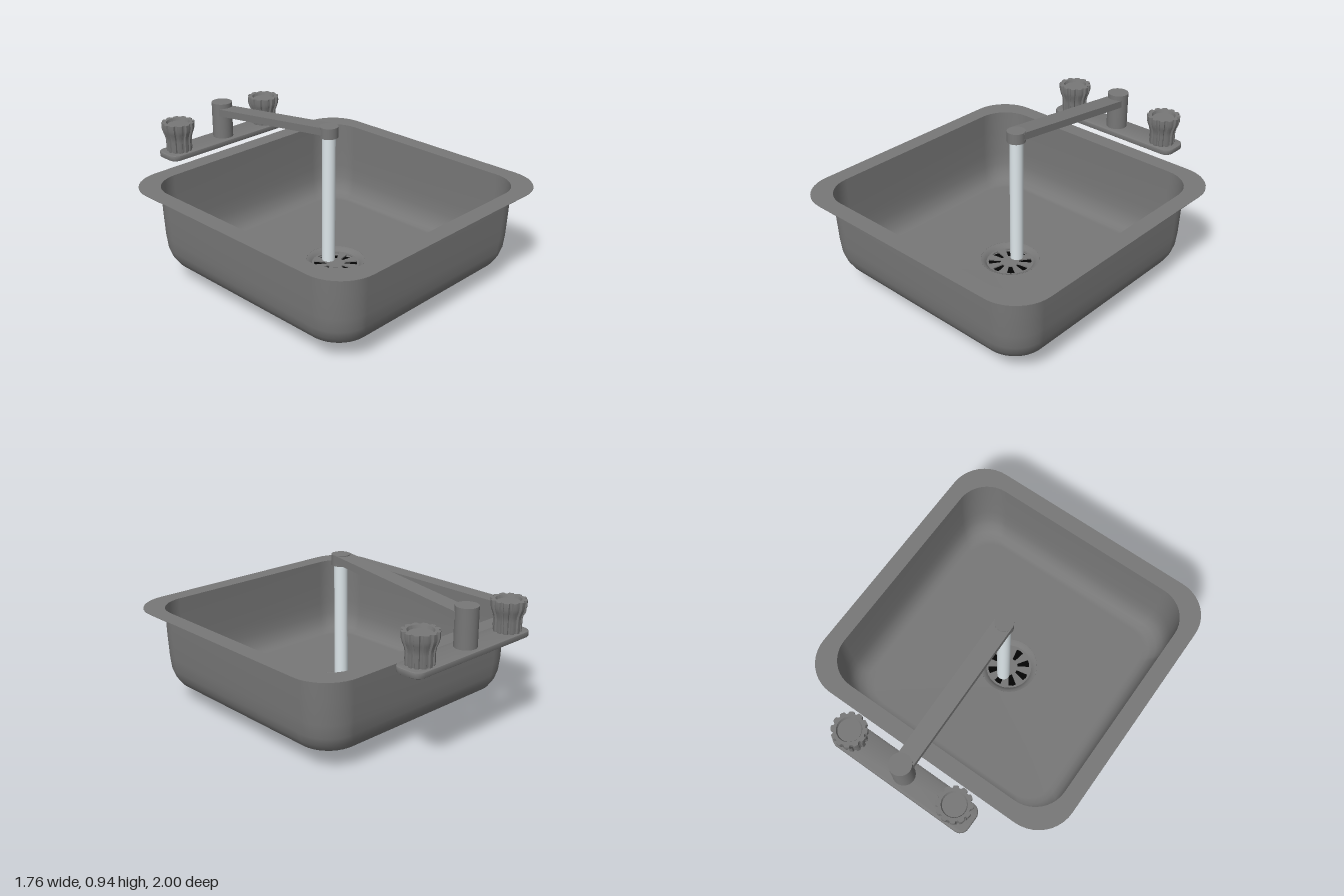
import * as THREE from 'three';
import { toCreasedNormals } from 'three/addons/utils/BufferGeometryUtils.js';

const steel = new THREE.MeshStandardMaterial({ color: 0x777777 });
const sheet = new THREE.MeshStandardMaterial({ color: 0x777777, side: THREE.DoubleSide });
const black = new THREE.MeshStandardMaterial({ color: 0x030303, side: THREE.DoubleSide });
const water = new THREE.MeshStandardMaterial({ color: 0xdde6ea });
const BOWL_Z = 0.12, TAP_Z = -0.9, SPOUT_Z = 0.06;

function add(parent, name, geometry, material, x = 0, y = 0, z = 0) {
  const mesh = new THREE.Mesh(geometry, material);
  mesh.name = name;
  mesh.position.set(x, y, z);
  parent.add(mesh);
  return mesh;
}

// Outline of a rounded rectangle, four corner arcs of n + 1 points
function outline(hx, hy, r, n = 10) {
  const pts = [];
  [[1, 1], [-1, 1], [-1, -1], [1, -1]].forEach(([sx, sy], q) => {
    for (let i = 0; i <= n; i++) {
      const a = (q + i / n) * Math.PI / 2;
      pts.push(new THREE.Vector2(sx * (hx - r) + r * Math.cos(a), sy * (hy - r) + r * Math.sin(a)));
    }
  });
  return pts;
}

// Skin through square rings given as [half size, corner radius, y]
function loft(rings) {
  const pos = [], index = [];
  rings.forEach(([h, r, y]) => outline(h, h, r).forEach(p => pos.push(p.x, y, p.y)));
  const n = pos.length / 3 / rings.length;
  for (let k = 0; k < rings.length - 1; k++) {
    for (let i = 0; i < n; i++) {
      const a = k * n + i, b = k * n + (i + 1) % n;
      index.push(a, b, a + n, b, b + n, a + n);
    }
  }
  const g = new THREE.BufferGeometry();
  g.setAttribute('position', new THREE.Float32BufferAttribute(pos, 3));
  g.setIndex(index);
  g.computeVertexNormals();
  return g;
}

function lathe(profile, segments = 48) {
  return new THREE.LatheGeometry(profile.map(([r, y]) => new THREE.Vector2(r, y)), segments);
}

// Flared handle with a shallow dished top; twelve ribs cut into its outer wall
function knobGeometry() {
  const g = lathe([[0, 0], [0.078, 0], [0.08, 0.012], [0.08, 0.07], [0.085, 0.1], [0.095, 0.125],
    [0.102, 0.15], [0.102, 0.185], [0.072, 0.185], [0.066, 0.168], [0, 0.168]], 96);
  const p = g.attributes.position;
  for (let i = 0; i < p.count; i++) {
    const x = p.getX(i), z = p.getZ(i);
    if (Math.hypot(x, z) < 0.075) continue;
    const wave = Math.cos(12 * Math.atan2(z, x));
    const s = 1 - 0.13 * THREE.MathUtils.smoothstep(-wave, -0.2, 0.9);
    p.setXYZ(i, x * s, p.getY(i), z * s);
  }
  return toCreasedNormals(g, 0.6);
}

// Strainer disc with eight wedge-shaped slots
function strainerGeometry() {
  const shape = new THREE.Shape().absarc(0, 0, 0.15, 0, Math.PI * 2);
  for (let i = 0; i < 8; i++) {
    const c = new THREE.Vector2();
    const corners = [[0.055, -0.01], [0.127, -0.024], [0.132, 0], [0.127, 0.024], [0.055, 0.01]];
    shape.holes.push(new THREE.Path(corners.map(([u, v]) =>
      new THREE.Vector2(u, v).rotateAround(c, i * Math.PI / 4))));
  }
  return new THREE.ExtrudeGeometry(shape, { depth: 0.008, bevelEnabled: false, curveSegments: 24 })
    .rotateX(-Math.PI / 2);
}

export function createModel() {
  const model = new THREE.Group();
  model.name = 'kitchenSink';

  // Basin: thin flat rim, and a bowl that narrows to a round drain opening
  const basin = new THREE.Group();
  basin.name = 'basin';
  basin.position.z = BOWL_Z;
  model.add(basin);
  const rim = loft([[0.78, 0.2, 0.602], [0.88, 0.23, 0.602], [0.88, 0.23, 0.599], [0.78, 0.2, 0.599]]);
  add(basin, 'rim', toCreasedNormals(rim, 0.6), sheet);
  add(basin, 'bowl', loft([[0.78, 0.2, 0.6], [0.778, 0.2, 0.45], [0.773, 0.2, 0.3], [0.765, 0.195, 0.22],
    [0.75, 0.19, 0.17], [0.725, 0.18, 0.128], [0.69, 0.17, 0.107], [0.66, 0.165, 0.105],
    [0.178, 0.178, 0.103]]), sheet);

  // Drain
  add(basin, 'drainCollar', lathe([[0.152, 0.05], [0.165, 0.06], [0.173, 0.085], [0.178, 0.104]]), sheet);
  add(basin, 'drainSeat', lathe([[0.178, 0.103], [0.165, 0.1], [0.152, 0.092], [0.142, 0.08]]), sheet);
  add(basin, 'strainer', strainerGeometry(), steel, 0, 0.074);
  add(basin, 'drainCup', toCreasedNormals(lathe([[0, 0], [0.075, 0], [0.155, 0.05]]), 0.4), black);

  // Tap: deck plate, post, sloping arm, nozzle and running water
  const tap = new THREE.Group();
  tap.name = 'tap';
  model.add(tap);
  const plate = new THREE.ExtrudeGeometry(new THREE.Shape(outline(0.457, 0.082, 0.045, 6)),
    { depth: 0.024, bevelThickness: 0.006, bevelSize: 0.009, bevelSegments: 3 });
  add(tap, 'deckPlate', toCreasedNormals(plate.rotateX(-Math.PI / 2), 0.6), steel, 0, 0.606, TAP_Z);
  add(tap, 'post', new THREE.CylinderGeometry(0.065, 0.065, 0.235, 40), steel, 0, 0.7475, TAP_Z);
  const from = new THREE.Vector3(0, 0.806, TAP_Z), to = new THREE.Vector3(0, 0.922, 0.05);
  const arm = add(tap, 'spoutArm', new THREE.BoxGeometry(0.11, 0.045, from.distanceTo(to)), steel);
  arm.position.lerpVectors(from, to, 0.5);
  arm.rotation.x = -Math.atan2(to.y - from.y, to.z - from.z);
  add(tap, 'nozzle', new THREE.CylinderGeometry(0.055, 0.055, 0.065, 40), steel, 0, 0.9125, SPOUT_Z);
  add(tap, 'waterStream', new THREE.CylinderGeometry(0.04, 0.04, 0.8, 32), water, 0, 0.485, SPOUT_Z);

  // Handles
  const knob = knobGeometry();
  for (const [side, name] of [[1, 'left'], [-1, 'right']]) {
    add(tap, name + 'Knob', knob, steel, side * 0.355, 0.635, TAP_Z);
  }
  return model;
}
